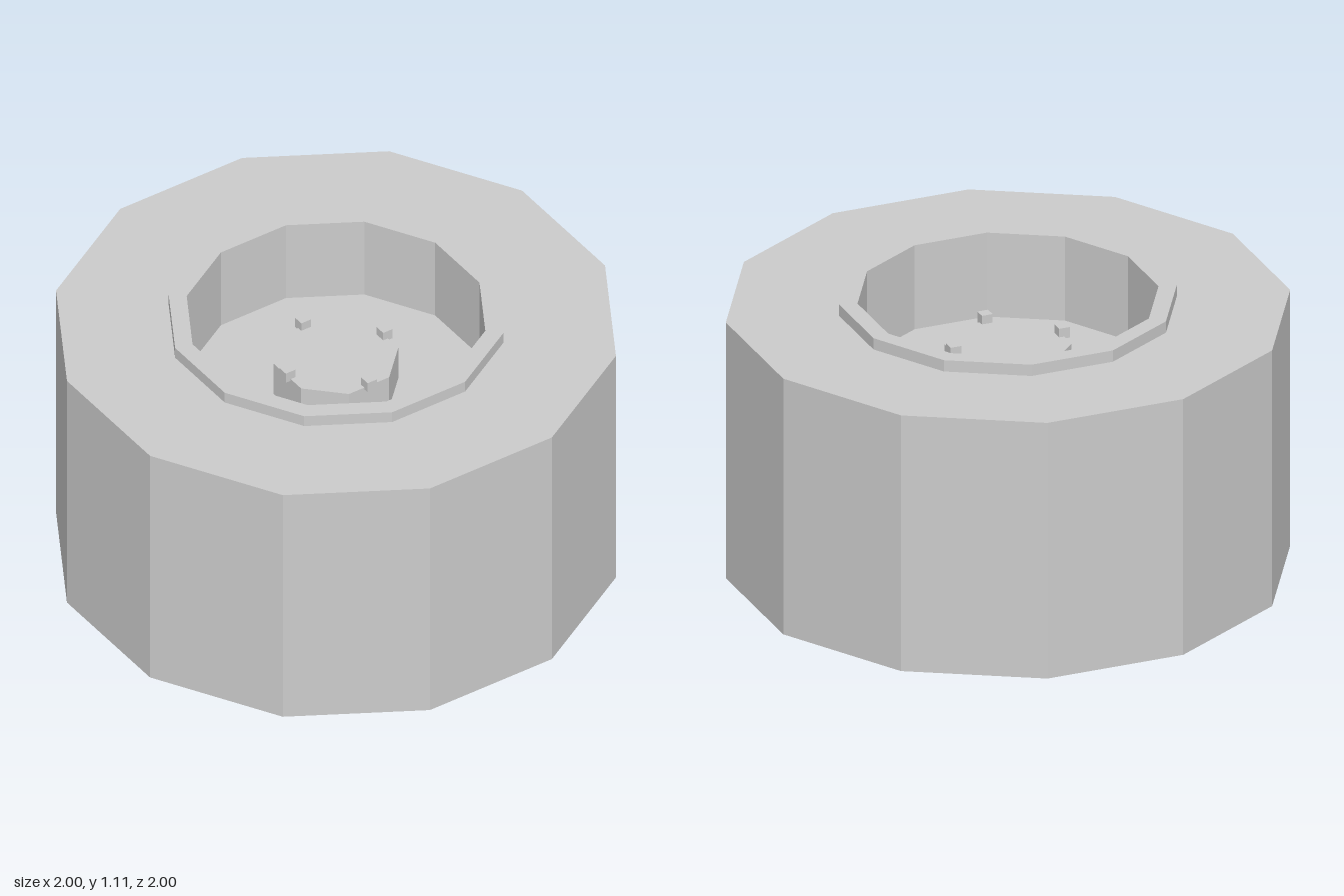
import * as THREE from 'three';

export function createModel() {
  const model = new THREE.Group();
  const material = new THREE.MeshStandardMaterial({ color: 0xcccccc, flatShading: true });
  const midY = 0.555, sides = 12;

  const add = (name, geometry) => {
    const mesh = new THREE.Mesh(geometry, material);
    mesh.name = name;
    model.add(mesh);
    return mesh;
  };
  // Twelve-sided ring with its flats facing the axes
  const lathe = (name, profile) => add(name, new THREE.LatheGeometry(
    profile.map(([r, y]) => new THREE.Vector2(r, y)), sides, Math.PI / sides));

  // Tyre: plain, square-shouldered block around the rim
  lathe('tyre', [[0.619, 0.045], [1.035, 0.045], [1.035, 1.065], [0.619, 1.065]]);

  // Rim: raised lips with a deep recess on both faces
  lathe('rim', [
    [0, 0.335], [0.552, 0.335], [0.552, 0], [0.619, 0],
    [0.619, 1.11], [0.552, 1.11], [0.552, 0.775], [0, 0.775],
  ]);

  // Octagonal hub and four wheel nuts on each face
  const hubHeight = 0.14, nutSize = 0.042, hubFace = 0.36;
  for (const [label, dir] of [['upper', 1], ['lower', -1]]) {
    const hub = add(label + 'Hub', new THREE.CylinderGeometry(
      0.231, 0.231, hubHeight, 8, 1, false, Math.PI / 8));
    hub.position.y = midY + dir * (hubFace - hubHeight / 2);

    for (let i = 0; i < 4; i++) {
      const a = i * Math.PI / 2;
      const nut = add(label + 'WheelNut' + (i + 1), new THREE.BoxGeometry(nutSize, nutSize, nutSize));
      nut.position.set(0.214 * Math.cos(a), midY + dir * (hubFace + 0.013), 0.214 * Math.sin(a));
    }
  }
  return model;
}
